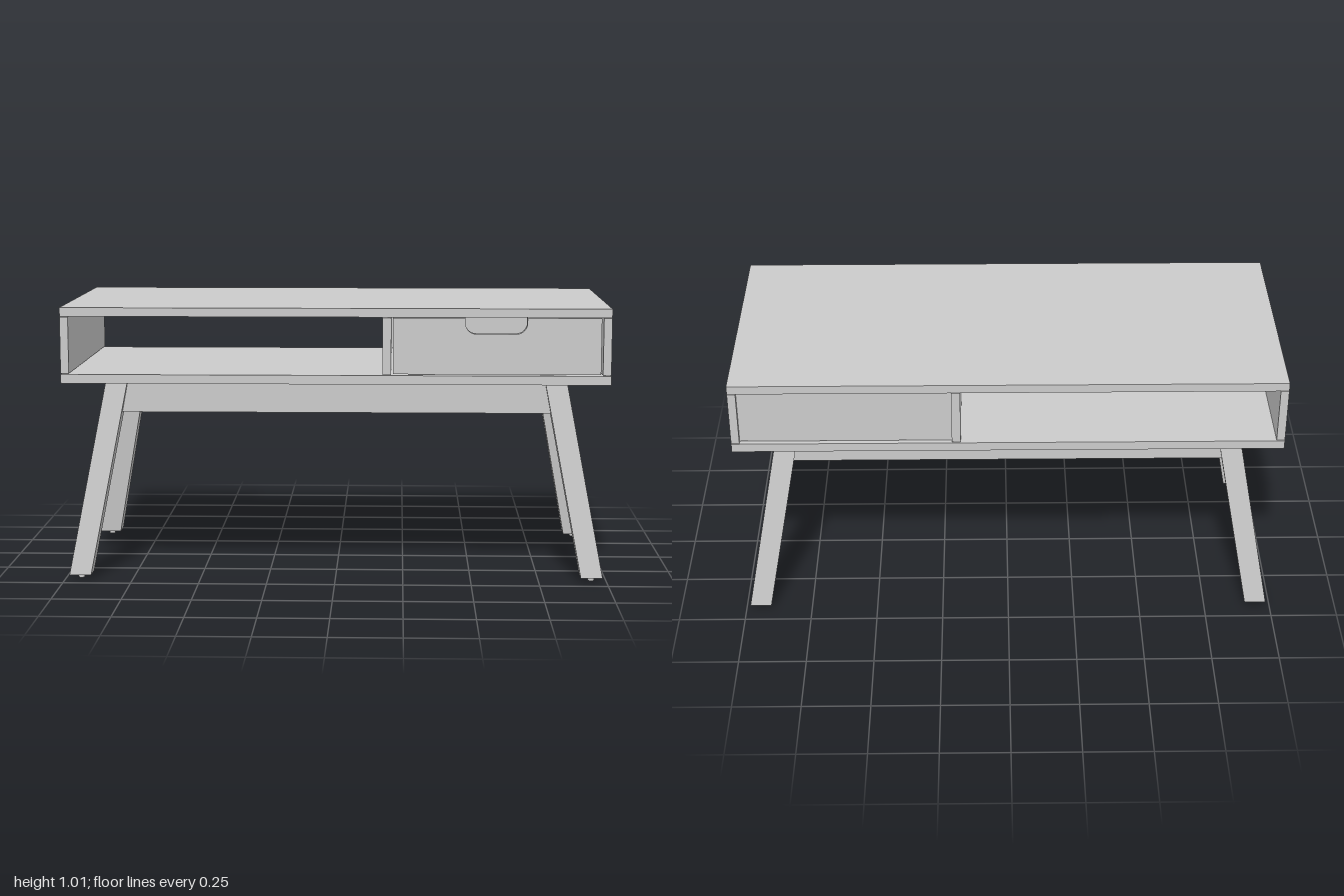
import * as THREE from 'three';

const material = new THREE.MeshStandardMaterial({ color: 0xcccccc });

function addMesh(parent, name, geometry) {
  const mesh = new THREE.Mesh(geometry, material);
  mesh.name = name;
  parent.add(mesh);
  return mesh;
}

// Box given by its extents along each axis
function addBox(parent, name, [x0, x1], [y0, y1], [z0, z1]) {
  const mesh = addMesh(parent, name, new THREE.BoxGeometry(x1 - x0, y1 - y0, z1 - z0));
  mesh.position.set((x0 + x1) / 2, (y0 + y1) / 2, (z0 + z1) / 2);
  return mesh;
}

// Splayed square leg: a box sheared outwards towards the floor
function legGeometry(sx, sz) {
  const y0 = 0.015, y1 = 0.733;
  const g = new THREE.BoxGeometry(0.08, y1 - y0, 0.079);
  const p = g.attributes.position;
  for (let i = 0; i < p.count; i++) {
    const low = p.getY(i) < 0;
    p.setXYZ(i,
      p.getX(i) + sx * (low ? 0.945 : 0.81),
      low ? y0 : y1,
      p.getZ(i) + sz * (low ? 0.397 : 0.304));
  }
  g.computeVertexNormals();
  return g;
}

// Upright board whose ends follow the slant of the legs
function apronGeometry(halfTop, halfBottom) {
  const shape = new THREE.Shape([
    new THREE.Vector2(-halfBottom, 0.612), new THREE.Vector2(halfBottom, 0.612),
    new THREE.Vector2(halfTop, 0.733), new THREE.Vector2(-halfTop, 0.733),
  ]);
  const g = new THREE.ExtrudeGeometry(shape, { depth: 0.03, bevelEnabled: false });
  return g.translate(0, 0, -0.015);
}

// Drawer front with a rounded finger notch in its upper edge
function drawerFrontGeometry() {
  const x0 = 0.21, x1 = 0.964, y0 = 0.77, y1 = 0.975;
  const n0 = 0.472, n1 = 0.696, ny = 0.917, r = 0.04;
  const s = new THREE.Shape();
  s.moveTo(x0, y0);
  s.lineTo(x1, y0);
  s.lineTo(x1, y1);
  s.lineTo(n1, y1);
  s.lineTo(n1, ny + r);
  s.absarc(n1 - r, ny + r, r, 0, -Math.PI / 2, true);
  s.lineTo(n0 + r, ny);
  s.absarc(n0 + r, ny + r, r, -Math.PI / 2, -Math.PI, true);
  s.lineTo(n0, y1);
  s.lineTo(x0, y1);
  s.closePath();
  return new THREE.ExtrudeGeometry(s, { depth: 0.03, bevelEnabled: false, curveSegments: 8 });
}

export function createModel() {
  const table = new THREE.Group();
  table.name = 'coffeeTable';

  // Cabinet shell, open through on the right-hand side
  const depth = [-0.45, 0.45], inner = [0.769, 0.976];
  addBox(table, 'tableTop', [-1, 1], [0.978, 1.01], depth);
  addBox(table, 'lowerShelf', [-1, 1], [0.733, 0.766], depth);
  addBox(table, 'leftSidePanel', [0.97, 1], inner, depth);
  addBox(table, 'rightSidePanel', [-1, -0.97], inner, depth);
  addBox(table, 'divider', [0.172, 0.204], inner, depth);
  addBox(table, 'backPanel', [0.204, 0.97], inner, [-0.435, -0.405]);

  // Drawer
  const drawer = new THREE.Group();
  drawer.name = 'drawer';
  table.add(drawer);
  addMesh(drawer, 'drawerFront', drawerFrontGeometry()).position.z = 0.41;
  addBox(drawer, 'drawerBottom', [0.22, 0.954], [0.778, 0.79], [-0.38, 0.41]);
  addBox(drawer, 'drawerBack', [0.22, 0.954], [0.79, 0.915], [-0.38, -0.36]);
  addBox(drawer, 'drawerRightSide', [0.22, 0.24], [0.79, 0.915], [-0.36, 0.41]);
  addBox(drawer, 'drawerLeftSide', [0.934, 0.954], [0.79, 0.915], [-0.36, 0.41]);

  // Aprons between the legs
  for (const s of [1, -1]) {
    addMesh(table, s > 0 ? 'frontApron' : 'backApron', apronGeometry(0.773, 0.794)).position.z = s * 0.315;
    const side = addMesh(table, s > 0 ? 'leftApron' : 'rightApron', apronGeometry(0.265, 0.279));
    side.rotation.y = Math.PI / 2;
    side.position.x = s * 0.825;
  }

  // Legs with small round feet
  for (const sx of [1, -1]) for (const sz of [1, -1]) {
    const name = (sz > 0 ? 'front' : 'back') + (sx > 0 ? 'Left' : 'Right');
    addMesh(table, name + 'Leg', legGeometry(sx, sz));
    const foot = addMesh(table, name + 'Foot', new THREE.CylinderGeometry(0.012, 0.012, 0.016, 16));
    foot.position.set(sx * 0.945, 0.008, sz * 0.4);
  }
  return table;
}
